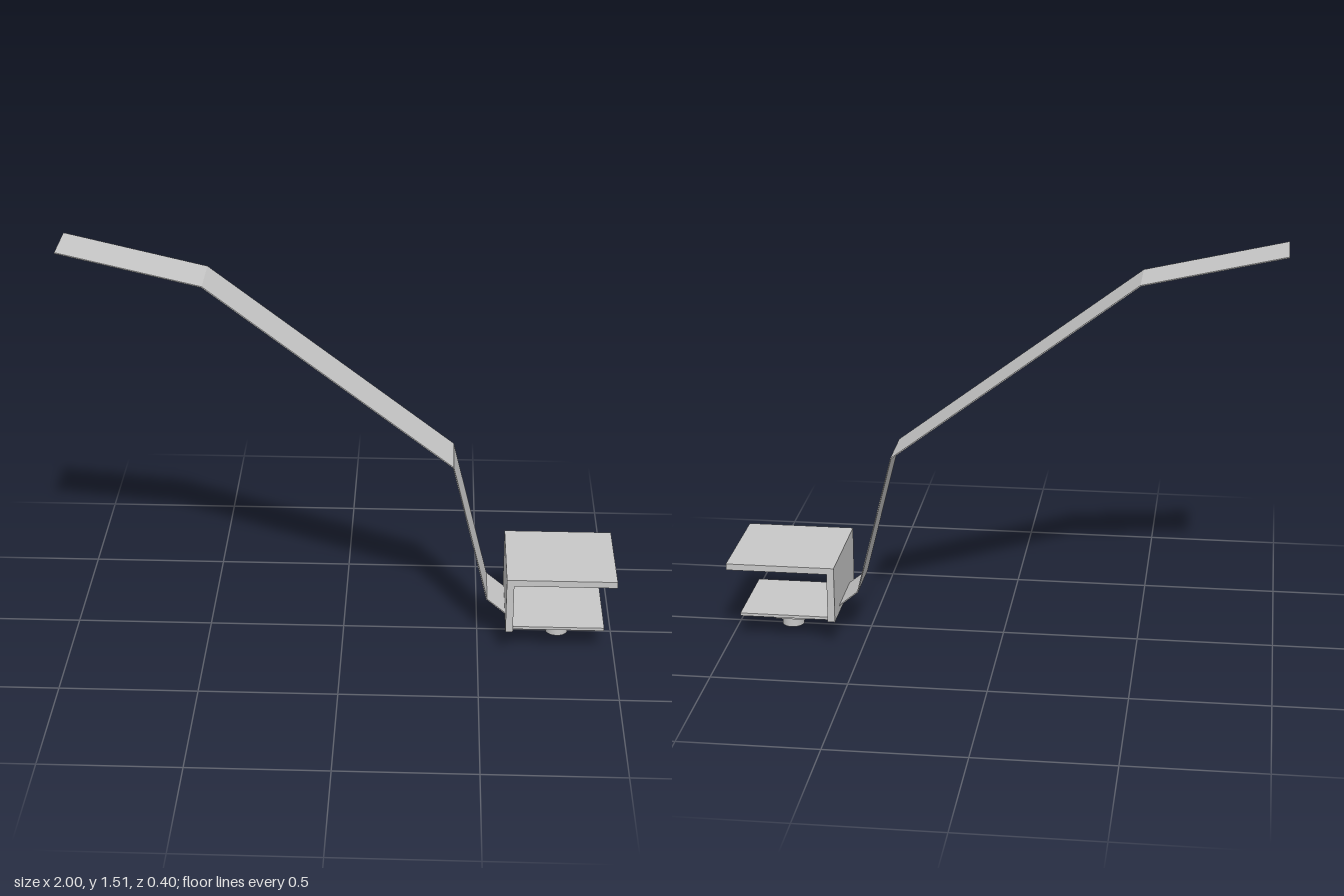
import * as THREE from 'three';

export function createModel() {
  const model = new THREE.Group();
  const metal = new THREE.MeshStandardMaterial({ color: 0xc8c8c8 });
  metal.name = 'grey metal';

  const add = (name, geometry) => {
    const mesh = new THREE.Mesh(geometry, metal);
    mesh.name = name;
    model.add(mesh);
    return mesh;
  };

  // Side profile extruded along z, centred on z = 0
  const extrude = (points, width) => {
    const shape = new THREE.Shape(points.map(([x, y]) => new THREE.Vector2(x, y)));
    return new THREE.ExtrudeGeometry(shape, { depth: width, bevelEnabled: false })
      .translate(0, 0, -width / 2);
  };

  const box = (name, x0, x1, y0, y1, width) =>
    add(name, new THREE.BoxGeometry(x1 - x0, y1 - y0, width))
      .position.set((x0 + x1) / 2, (y0 + y1) / 2, 0);

  // Thin bent strap, its lower end passing through the bracket wall
  const path = [[-1, 1.51], [-0.49, 1.392], [0.4, 0.715], [0.533, 0.183], [0.63, 0.103]];
  const t = 0.004;
  const under = path.map(([x, y], i) => {
    const a = path[Math.max(i - 1, 0)];
    const b = path[Math.min(i + 1, path.length - 1)];
    const dx = b[0] - a[0], dy = b[1] - a[1], len = Math.hypot(dx, dy);
    return [i === 0 ? x : x + (dy / len) * t, y - (dx / len) * t];
  });
  add('bentStrap', extrude([...under, ...path.slice().reverse()], 0.21));

  // Angle bracket: top plate and back wall
  add('clampBracket', extrude([
    [0.6, 0.1], [0.627, 0.1], [0.627, 0.289], [1, 0.289], [1, 0.313], [0.6, 0.313],
  ], 0.4));

  // Lower jaw with its nut and bolt
  box('clampPlate', 0.63, 0.963, 0.09, 0.101, 0.32);
  box('nutBlock', 0.743, 0.854, 0.037, 0.09, 0.11);
  add('boltEnd', new THREE.CylinderGeometry(0.041, 0.041, 0.037, 24))
    .position.set(0.798, 0.0185, 0);

  return model;
}
